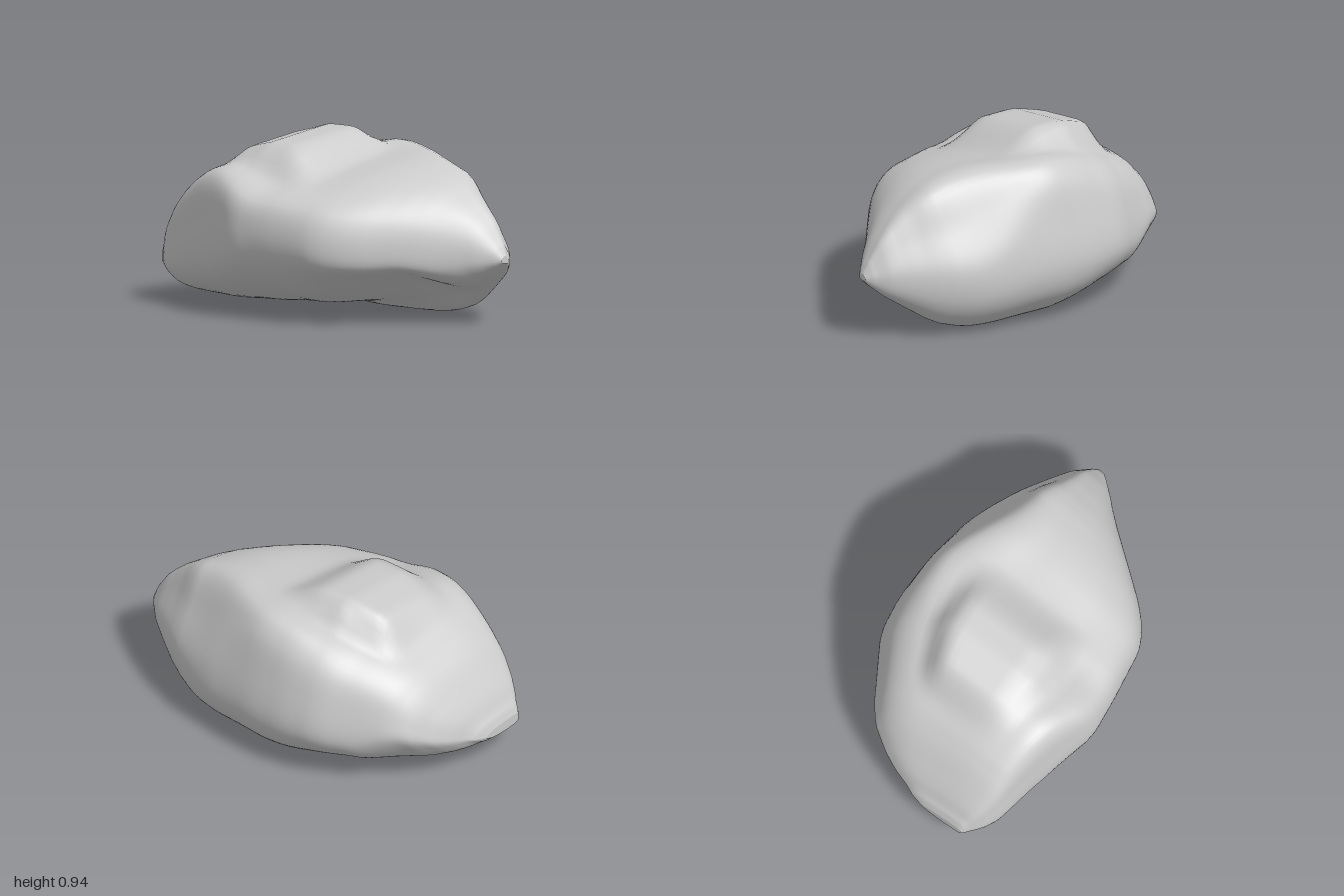
import * as THREE from 'three';

// Outline of the boulder along its length: z, left x, right x, lowest y, highest y
const stations = [
  [-1, -0.355, -0.1, 0.185, 0.245], [-0.97, -0.385, 0.04, 0.16, 0.33],
  [-0.86, -0.46, 0.285, 0.1, 0.5], [-0.75, -0.485, 0.385, 0.06, 0.635],
  [-0.6, -0.52, 0.475, 0.035, 0.73], [-0.4, -0.57, 0.595, 0.03, 0.81],
  [-0.2, -0.635, 0.63, 0.01, 0.845], [0, -0.615, 0.63, 0.005, 0.86],
  [0.33, -0.55, 0.595, 0.005, 0.84], [0.48, -0.44, 0.555, 0.02, 0.815],
  [0.65, -0.23, 0.48, 0.075, 0.765], [0.83, -0.01, 0.37, 0.2, 0.625],
  [0.94, 0.1, 0.3, 0.275, 0.5], [1, 0.175, 0.225, 0.34, 0.38],
];

// Unit cross-sections, starting at the keel and running up the +x side
const tailProfile = [
  [0.75, 0.14], [0.9, 0.34], [1, 0.58], [0.96, 0.73], [0.89, 0.86], [0.78, 0.95], [0.55, 1],
  [0.2, 1], [0.04, 0.9], [0, 0.58], [0, 0.22], [0.08, 0.05], [0.35, 0], [0.55, 0.05],
];
const backProfile = [
  [0.75, 0.1], [0.92, 0.2], [1, 0.37], [0.97, 0.66], [0.91, 0.84], [0.8, 0.94], [0.55, 0.98],
  [0.2, 1], [0.04, 0.93], [0, 0.6], [0.01, 0.26], [0.1, 0.1], [0.38, 0], [0.57, 0.05],
];
const midProfile = [
  [0.78, 0], [0.95, 0.16], [1, 0.35], [0.97, 0.67], [0.92, 0.91], [0.85, 1], [0.58, 0.95],
  [0.24, 0.84], [0.04, 0.73], [0, 0.58], [0.02, 0.38], [0.13, 0.19], [0.34, 0.08], [0.56, 0.06],
];
const frontProfile = [
  [0.8, 0], [0.91, 0.07], [0.99, 0.22], [1, 0.45], [0.88, 0.72], [0.73, 1], [0.5, 0.97],
  [0.24, 0.86], [0.06, 0.7], [0, 0.52], [0.02, 0.37], [0.2, 0.29], [0.42, 0.22], [0.62, 0.12],
];
const noseProfile = [
  [0.8, 0], [0.92, 0.06], [1, 0.2], [1, 0.45], [0.84, 0.74], [0.64, 1], [0.45, 0.97],
  [0.22, 0.87], [0.07, 0.7], [0, 0.48], [0.02, 0.27], [0.15, 0.13], [0.35, 0.06], [0.6, 0.02],
];
const keys = [
  [-0.86, tailProfile], [-0.55, backProfile], [0, midProfile],
  [0.6, frontProfile], [0.85, noseProfile],
];

const RINGS = 90;
const SIDES = 98;
const { lerp, smoothstep } = THREE.MathUtils;

// Blend of the cross-sections at a given z
function profileAt(z) {
  let points = tailProfile;
  for (let k = 1; k < keys.length; k++) {
    const t = smoothstep(z, keys[k - 1][0], keys[k][0]);
    points = points.map(([u, v], i) =>
      [lerp(u, keys[k][1][i][0], t), lerp(v, keys[k][1][i][1], t)]);
  }
  return points;
}

// Straight runs between stations, with softened corners
function outlineAt(outline, z) {
  const h = Math.min(0.035, 1 - Math.abs(z));
  const before = [...outline.evaluate(z - h)];
  const after = [...outline.evaluate(z + h)];
  return before.map((value, i) => (value + after[i]) / 2);
}

// Raised flat-topped knob on the upper surface, narrowing toward the back
function knob(x, y, z) {
  if (y < 0.55) return y;
  const taper = Math.max(0, -0.3 - z) * 0.4;
  const mask = smoothstep(x, -0.42 + taper * 0.5, -0.24 + taper * 0.5)
    * (1 - smoothstep(x, 0.19 - taper, 0.34 - taper))
    * smoothstep(z, -0.64, -0.47) * (1 - smoothstep(z, -0.16, 0.13));
  const cap = 0.915 + 0.13 * x - 0.25 * Math.max(0, -0.3 - z);
  return lerp(y, Math.max(y, cap), mask);
}

function boulderGeometry() {
  const outline = new THREE.LinearInterpolant(
    stations.map((s) => s[0]), stations.flatMap((s) => s.slice(1)), 4);
  const positions = [];
  const index = [];

  // Rings, packed closer together toward both ends
  for (let i = 0; i <= RINGS; i++) {
    const z = -Math.cos((i / RINGS) * Math.PI);
    const [xl, xr, yb, yt] = outlineAt(outline, z);
    const ring = new THREE.CatmullRomCurve3(
      profileAt(z).map(([u, v]) => new THREE.Vector3(lerp(xl, xr, u), lerp(yb, yt, v), z)),
      true, 'centripetal');
    for (let j = 0; j < SIDES; j++) {
      const p = ring.getPoint(j / SIDES);
      positions.push(p.x, Math.max(0, knob(p.x, p.y, z)), z);
    }
  }

  // Skin between neighbouring rings
  for (let i = 0; i < RINGS; i++) {
    for (let j = 0; j < SIDES; j++) {
      const k = (j + 1) % SIDES;
      const a = i * SIDES + j, b = i * SIDES + k;
      index.push(a, b, b + SIDES, a, b + SIDES, a + SIDES);
    }
  }

  // Small caps closing the two ends
  const back = positions.length / 3;
  positions.push(-0.23, 0.215, -1, 0.2, 0.36, 1);
  for (let j = 0; j < SIDES; j++) {
    const k = (j + 1) % SIDES;
    index.push(back, k, j, back + 1, RINGS * SIDES + j, RINGS * SIDES + k);
  }

  const geometry = new THREE.BufferGeometry();
  geometry.setAttribute('position', new THREE.Float32BufferAttribute(positions, 3));
  geometry.setIndex(index);
  geometry.computeVertexNormals();
  return geometry;
}

export function createModel() {
  const group = new THREE.Group();
  group.name = 'rock';
  const boulder = new THREE.Mesh(
    boulderGeometry(), new THREE.MeshStandardMaterial({ color: 0xcccccc }));
  boulder.name = 'boulder';
  group.add(boulder);
  return group;
}
